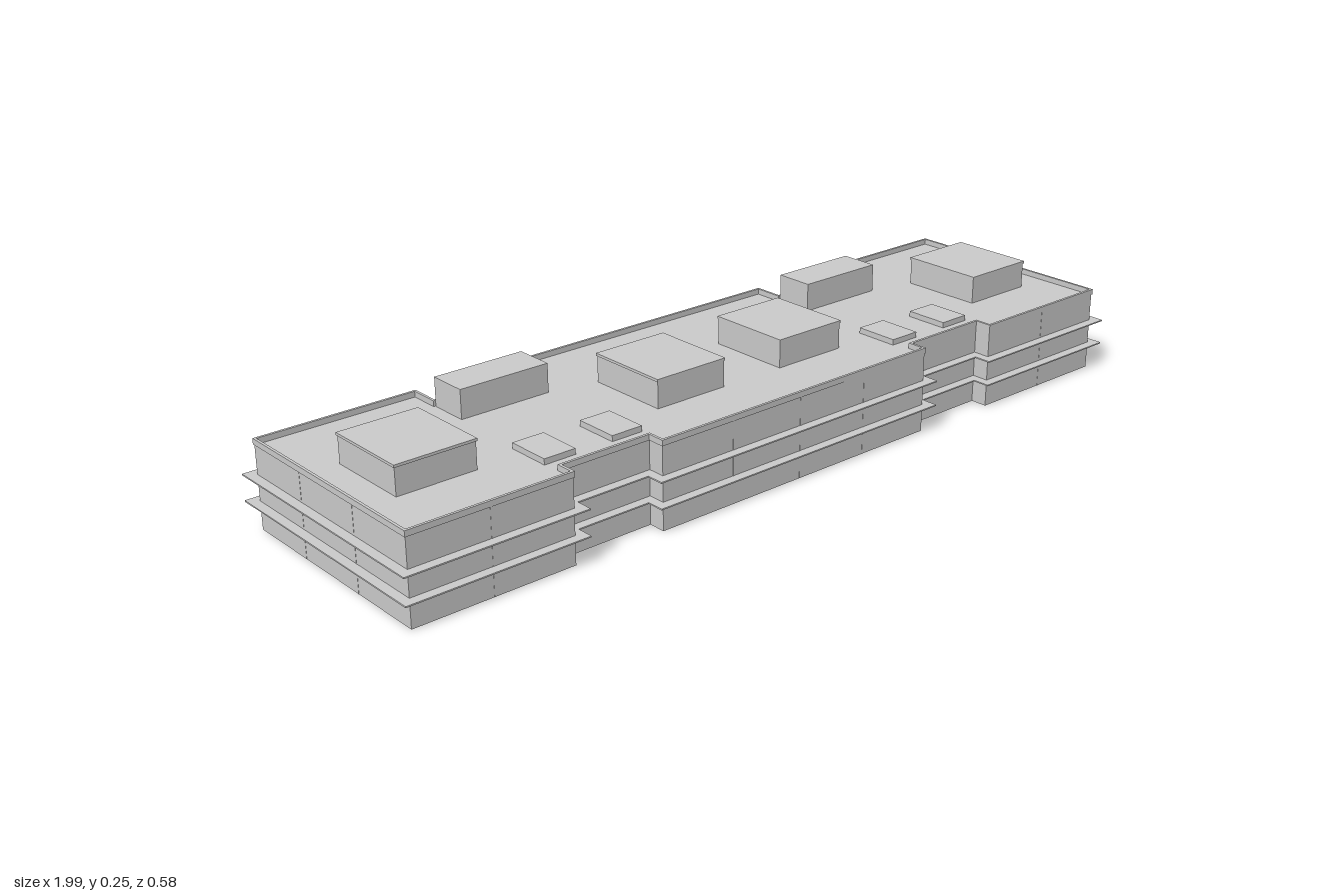
import * as THREE from 'three';

const H = 0.2, ROOF = 0.187, WALL = 0.004;

// Rectilinear plan with two notches on each long side, grown outwards by d
function planPoints(d) {
  const X = 0.975 + d, Z = 0.27 + d, a = 0.38 + d, b = 0.6 - d;
  const F = 0.23 + d, B = 0.2 + d;
  const side = (z, n) => [[-X, z], [-b, z], [-b, n], [-a, n], [-a, z], [a, z], [a, n], [b, n], [b, z], [X, z]];
  return [...side(Z, F), ...side(-Z, -B).reverse()].map(([x, z]) => new THREE.Vector2(x, -z));
}

export function createModel() {
  const group = new THREE.Group();
  const material = new THREE.MeshStandardMaterial({ color: 0xcccccc, flatShading: true, side: THREE.DoubleSide });

  const add = (name, geometry, x = 0, y = 0, z = 0) => {
    const mesh = new THREE.Mesh(geometry, material);
    mesh.name = name;
    mesh.position.set(x, y, z);
    group.add(mesh);
    return mesh;
  };

  // Horizontal ring that follows the plan between two offsets
  const ring = (name, outer, inner, y, height) => {
    const shape = new THREE.Shape(planPoints(outer));
    shape.holes.push(new THREE.Path(planPoints(inner)));
    const geometry = new THREE.ExtrudeGeometry(shape, { depth: height, bevelEnabled: false });
    add(name, geometry.rotateX(-Math.PI / 2), 0, y, 0);
  };

  const box = (name, x0, x1, y0, y1, z0, z1) =>
    add(name, new THREE.BoxGeometry(x1 - x0, y1 - y0, z1 - z0), (x0 + x1) / 2, (y0 + y1) / 2, (z0 + z1) / 2);

  // Outer walls, open underneath, with a slightly proud parapet
  ring('walls', 0, -WALL, 0, ROOF);
  ring('parapet', 0.002, -WALL, ROOF, H - ROOF);

  // Thin ledges between the storeys
  for (const y of [0.061, 0.119]) ring('ledge', 0.022, -WALL - 0.002, y, 0.003);

  // Flat roof
  const roof = new THREE.ShapeGeometry(new THREE.Shape(planPoints(-WALL / 2)));
  add('roof', roof.rotateX(-Math.PI / 2), 0, ROOF, 0);

  // Vertical joints on the long sides and the ends
  for (const s of [-1, 1]) {
    for (const x of [-0.79, -0.19, 0, 0.19, 0.79])
      box('wallJoint', x - 0.002, x + 0.002, 0, ROOF, s * 0.2685 - 0.002, s * 0.2685 + 0.002);
    for (const z of [0.09, -0.1])
      box('endJoint', s * 0.9735 - 0.002, s * 0.9735 + 0.002, 0, ROOF, z - 0.002, z + 0.002);
  }

  // Large roof plant rooms, each with a thin cap
  for (const x of [-0.807, -0.175, 0.17, 0.802]) {
    box('plantRoom', x - 0.091, x + 0.091, ROOF, 0.247, -0.078, 0.121);
    box('plantRoomCap', x - 0.093, x + 0.093, 0.247, 0.253, -0.08, 0.123);
  }

  for (const s of [-1, 1]) {
    // Stair heads behind the rear notches
    add('stairHead', new THREE.BoxGeometry(0.22, 0.253 - ROOF, 0.093), s * 0.49, (0.253 + ROOF) / 2, -0.1475);
    // Low hatches near the front notches
    for (const x of [0.403, 0.57])
      add('roofHatch', new THREE.BoxGeometry(0.076, H - ROOF, 0.104), s * x, (H + ROOF) / 2, 0.137);
  }

  return group;
}
